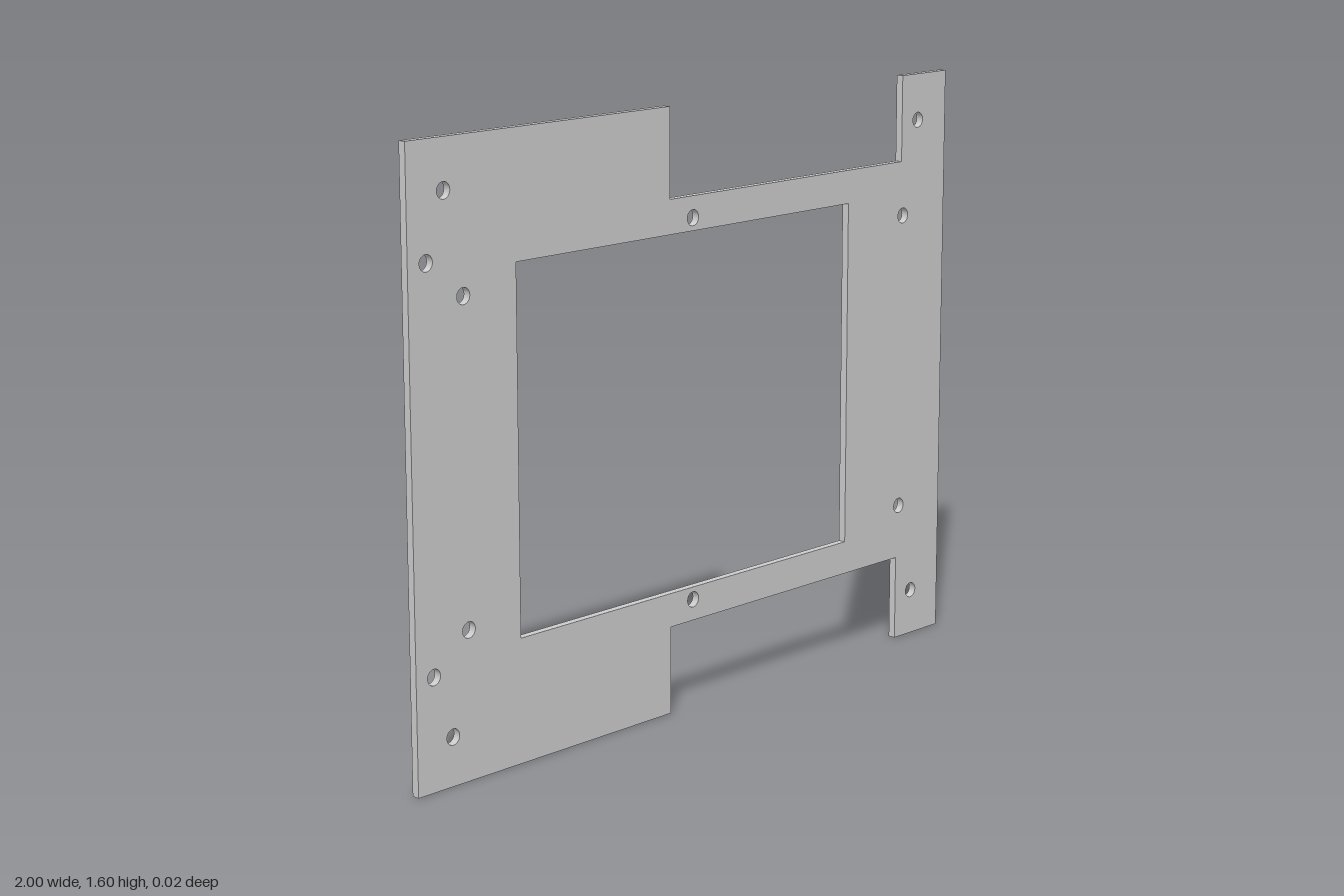
import * as THREE from 'three';

const HEIGHT = 1.603, THICK = 0.021, MID = HEIGHT / 2;

export function createModel() {
  const group = new THREE.Group();
  group.name = 'mountingPlate';

  // Outline, with a notch in the top and bottom edges (y measured from mid-height)
  const h = MID, notch = 0.565;
  const outline = [
    [-1, -h], [-0.111, -h], [-0.111, -notch], [0.813, -notch], [0.813, -h], [1, -h],
    [1, h], [0.813, h], [0.813, notch], [-0.111, notch], [-0.111, h], [-1, h],
  ];
  const shape = new THREE.Shape(outline.map(([x, y]) => new THREE.Vector2(x, y)));

  // Rectangular window
  const [x0, x1, wy] = [-0.651, 0.589, 0.474];
  shape.holes.push(new THREE.Path(
    [[x0, -wy], [x0, wy], [x1, wy], [x1, -wy]].map(([x, y]) => new THREE.Vector2(x, y))));

  // Screw holes, mirrored top to bottom
  const screws = [[-0.883, 0.674], [-0.942, 0.508], [-0.825, 0.414],
    [-0.026, 0.508], [0.881, 0.674], [0.822, 0.414]];
  for (const [x, y] of screws) {
    for (const side of [1, -1]) {
      shape.holes.push(new THREE.Path().absarc(x, side * y, 0.021, 0, Math.PI * 2, true));
    }
  }

  // Flat plate
  const geometry = new THREE.ExtrudeGeometry(shape, {
    depth: THICK, bevelEnabled: false, curveSegments: 24,
  });
  geometry.translate(0, MID, -THICK / 2);
  const plate = new THREE.Mesh(geometry, new THREE.MeshStandardMaterial({ color: 0xcccccc }));
  plate.name = 'plate';
  group.add(plate);
  return group;
}
